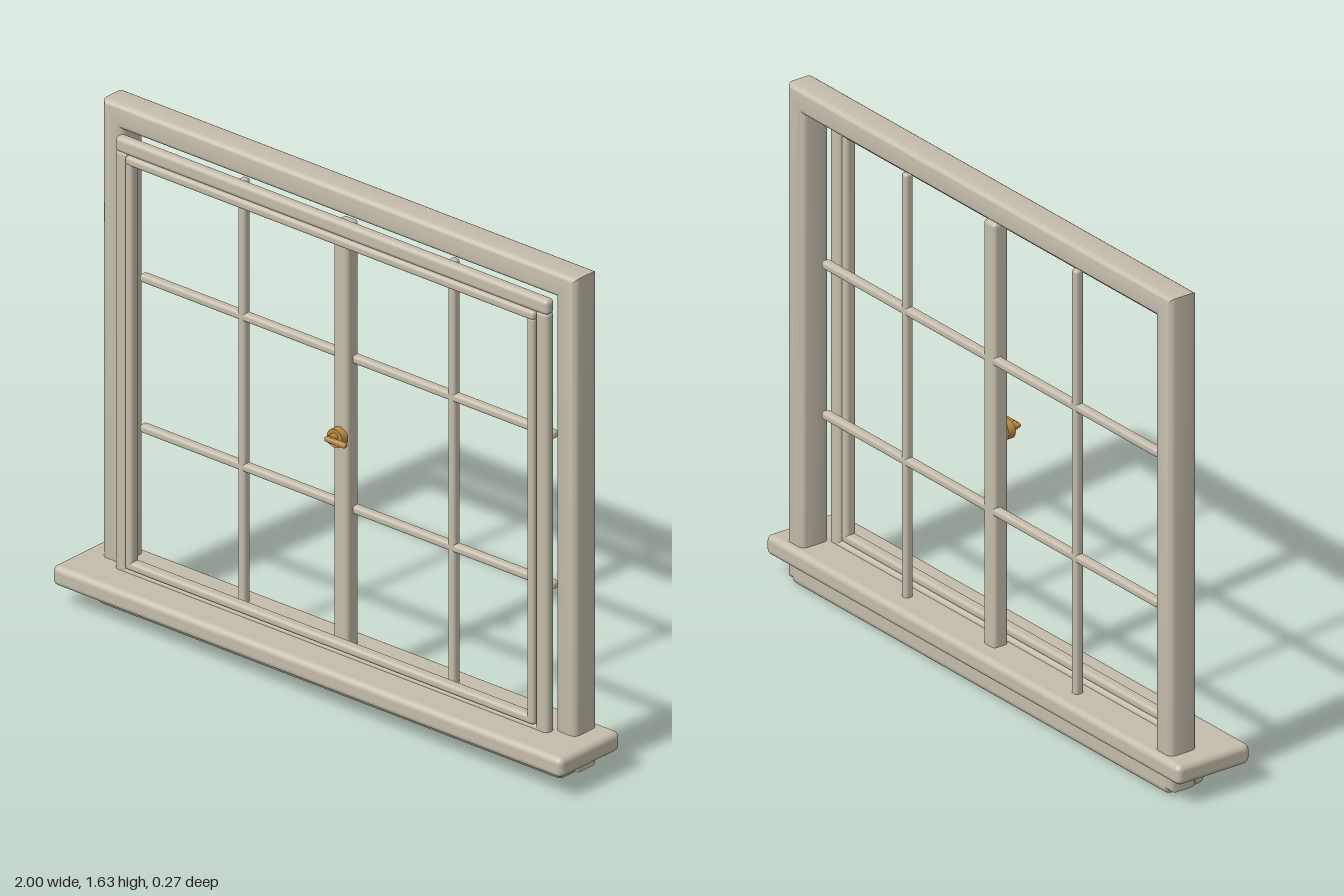
import * as THREE from 'three';
import { RoundedBoxGeometry } from 'three/addons/geometries/RoundedBoxGeometry.js';
import { toCreasedNormals } from 'three/addons/utils/BufferGeometryUtils.js';

export function createModel() {
  const model = new THREE.Group();
  model.name = 'sashWindow';
  const paint = new THREE.MeshStandardMaterial({ color: 0xc4bcab });
  paint.name = 'stonePaint';
  const brass = new THREE.MeshStandardMaterial({ color: 0xb98a45 });
  brass.name = 'brass';

  function add(name, geometry, material = paint) {
    const mesh = new THREE.Mesh(geometry, material);
    mesh.name = name;
    model.add(mesh);
    return mesh;
  }

  // Rounded bar given by its limits on each axis
  function bar(name, [x0, x1], [y0, y1], [z0, z1], radius, material = paint) {
    const mesh = add(name, new RoundedBoxGeometry(x1 - x0, y1 - y0, z1 - z0, 4, radius), material);
    mesh.position.set((x0 + x1) / 2, (y0 + y1) / 2, (z0 + z1) / 2);
    return mesh;
  }

  // Outer casing: two jambs and a head in one rounded extrusion
  const bevel = 0.02;
  const outline = [[-0.93, 0.015], [-0.85, 0.015], [-0.85, 1.55], [0.85, 1.55],
    [0.85, 0.015], [0.93, 0.015], [0.93, 1.63], [-0.93, 1.63]];
  const casing = new THREE.ExtrudeGeometry(
    new THREE.Shape(outline.map(([x, y]) => new THREE.Vector2(x, y))),
    { depth: 0.1 - 2 * bevel, bevelSize: bevel, bevelThickness: bevel, bevelOffset: -bevel, bevelSegments: 5 });
  casing.translate(0, 0, -0.11 + bevel);
  add('casing', toCreasedNormals(casing, 0.6));

  // Sill and the apron below it
  bar('sill', [-1, 1], [0.07, 0.135], [-0.135, 0.135], 0.02);
  bar('apron', [-0.915, 0.915], [0, 0.09], [-0.11, 0.037], 0.025);

  // Two stepped rings of moulding inside the casing
  function ring(name, outer, inner, bottom, bottomIn, topIn, top, z, radius) {
    for (const side of [-1, 1]) {
      const x = [side * outer, side * inner].sort((a, b) => a - b);
      bar(name + 'Stile', x, [bottom, topIn + 0.01], z, radius);
    }
    bar(name + 'Head', [-outer, outer], [topIn, top], z, radius);
    bar(name + 'BottomRail', [-outer, outer], [bottom, bottomIn], z, radius);
  }
  ring('trim', 0.85, 0.8, 0.11, 0.15, 1.497, 1.548, [-0.012, 0.025], 0.015);
  ring('sash', 0.803, 0.775, 0.147, 0.176, 1.47, 1.5, [-0.005, 0.033], 0.011);

  // Glazing bars and the wider middle mullion
  for (const x of [-0.412, 0.412]) {
    bar('verticalGlazingBar', [x - 0.0135, x + 0.0135], [0.12, 1.52], [-0.073, -0.043], 0.01);
  }
  for (const y of [0.578, 1.07]) {
    bar('horizontalGlazingBar', [-0.812, 0.812], [y - 0.0135, y + 0.0135], [-0.073, -0.043], 0.01);
  }
  bar('mullion', [-0.028, 0.028], [0.12, 1.52], [-0.073, -0.018], 0.013);

  // Latch: round rose, spindle and lever
  const rose = add('latchRose', new THREE.CylinderGeometry(0.03, 0.03, 0.026, 28), brass);
  rose.rotation.x = Math.PI / 2;
  rose.position.set(0, 0.822, -0.007);
  const spindle = add('latchSpindle', new THREE.CylinderGeometry(0.014, 0.014, 0.026, 20), brass);
  spindle.rotation.x = Math.PI / 2;
  spindle.position.set(0, 0.826, 0.015);
  bar('latchLever', [-0.015, 0.066], [0.819, 0.835], [0.021, 0.039], 0.006, brass);

  return model;
}
